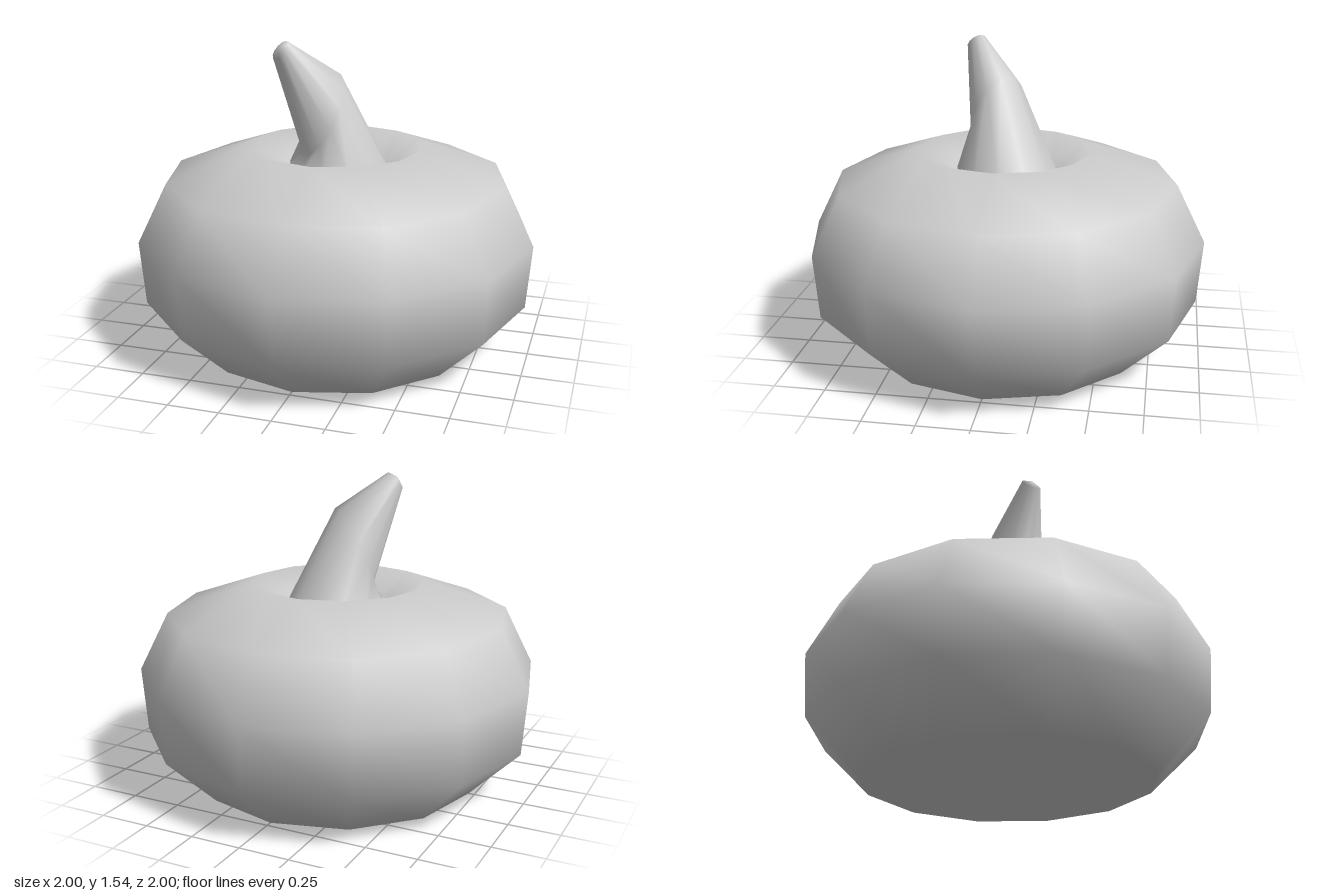
import * as THREE from 'three';

const SIDES = 12;
const material = new THREE.MeshStandardMaterial({ color: 0xcccccc });

// Squat gourd body, hollowed around the stem and underneath
function makeBody() {
  const profile = [
    [0, 0.17], [0.37, 0.13], [0.72, 0], [0.975, 0.25], [1, 0.57],
    [0.855, 0.86], [0.43, 1.01], [0.25, 0.905], [0, 0.83],
  ].map(([r, y]) => new THREE.Vector2(r, y));
  const body = new THREE.Mesh(new THREE.LatheGeometry(profile, SIDES), material);
  body.name = 'body';
  return body;
}

// Bent stem: elliptical rings leaning towards the front right corner
function makeStem() {
  const rings = [
    // center, half axis across the lean [horizontal, vertical], half width
    { c: [0.005, 0.895, -0.005], lean: [0.258, 0], w: 0.258 },
    { c: [-0.06, 1.18, 0.058], lean: [0.091, 0.199], w: 0.147 },
    { c: [-0.222, 1.505, 0.188], lean: [0.035, 0.04], w: 0.05 },
  ];
  const d = Math.SQRT1_2;
  const positions = [];
  const index = [];
  for (const { c, lean, w } of rings) {
    for (let j = 0; j < SIDES; j++) {
      const t = ((j + 0.5) / SIDES) * Math.PI * 2;
      const u = Math.cos(t), v = Math.sin(t) * w;
      positions.push(
        c[0] + d * (u * lean[0] + v),
        c[1] + u * lean[1],
        c[2] + d * (v - u * lean[0]),
      );
    }
  }
  // Blunt tip
  const tip = positions.length / 3;
  positions.push(-0.23, 1.52, 0.196);

  for (let i = 0; i < rings.length; i++) {
    for (let j = 0; j < SIDES; j++) {
      const a = i * SIDES + j;
      const b = i * SIDES + ((j + 1) % SIDES);
      if (i === rings.length - 1) index.push(a, tip, b);
      else index.push(a, a + SIDES, b, b, a + SIDES, b + SIDES);
    }
  }
  const geometry = new THREE.BufferGeometry();
  geometry.setAttribute('position', new THREE.Float32BufferAttribute(positions, 3));
  geometry.setIndex(index);
  geometry.computeVertexNormals();
  const stem = new THREE.Mesh(geometry, material);
  stem.name = 'stem';
  return stem;
}

export function createModel() {
  const group = new THREE.Group();
  group.name = 'pumpkin';
  group.add(makeBody(), makeStem());
  return group;
}
